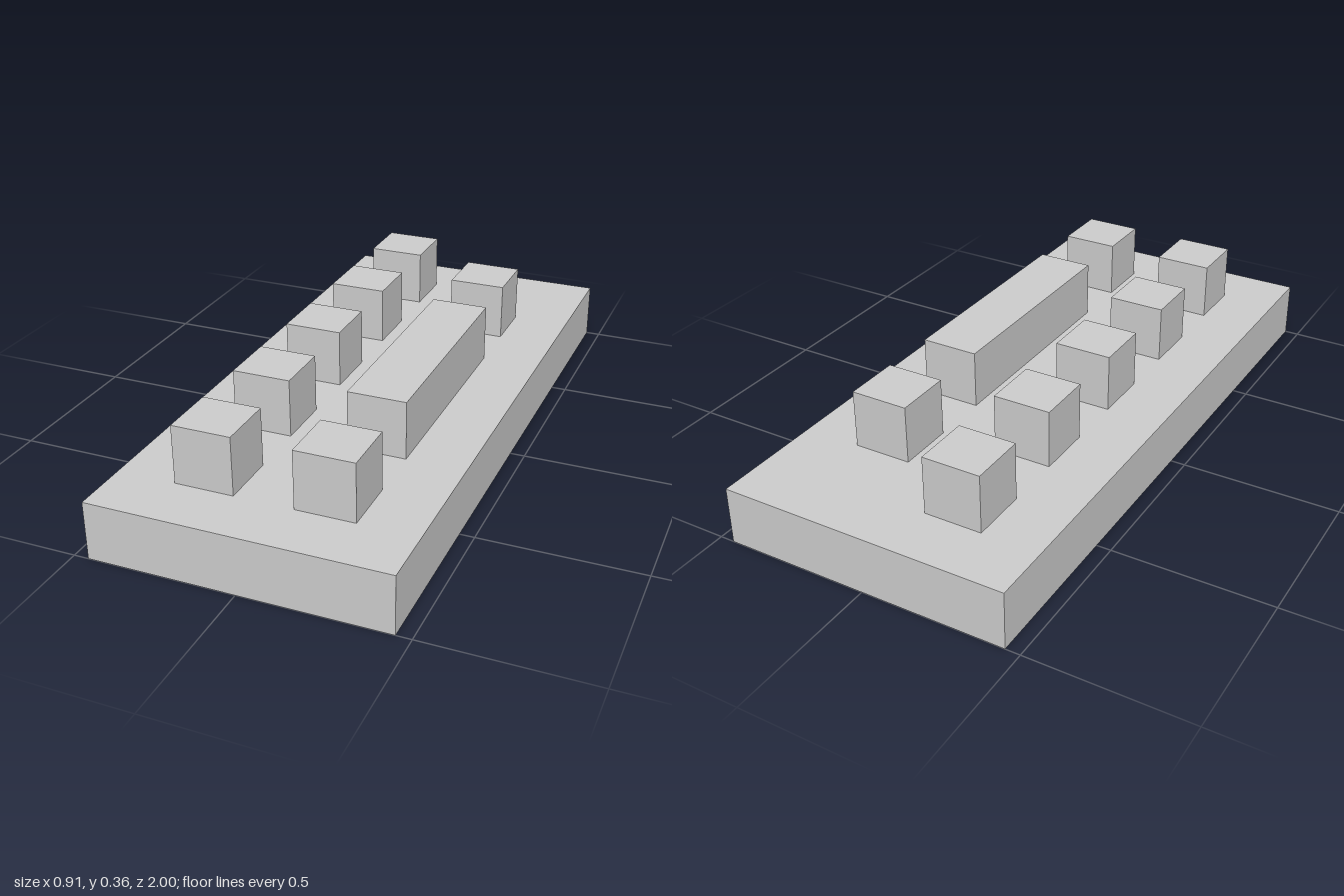
import * as THREE from 'three';

// One grid unit: the base is 5 x 1 x 11 units
const U = 2 / 11;

export function createModel() {
  const model = new THREE.Group();
  model.name = 'studdedPlate';

  const grey = new THREE.MeshStandardMaterial({ color: 0xcccccc });
  grey.name = 'light grey';

  // Box with size and position in grid units, resting on height y
  const addBox = (name, [w, h, d], [x, y, z]) => {
    const mesh = new THREE.Mesh(new THREE.BoxGeometry(w * U, h * U, d * U), grey);
    mesh.name = name;
    mesh.position.set(x * U, (y + h / 2) * U, z * U);
    model.add(mesh);
  };

  // Base slab
  addBox('base', [5, 1, 11], [0, 0, 0]);

  // Row of five cubes on the right
  for (const z of [-4, -2, 0, 2, 4]) addBox('rightCube', [1, 1, 1], [-1, 1, z]);

  // Cube, long bar and cube on the left
  for (const z of [-3, 4]) addBox('leftCube', [1, 1, 1], [1, 1, z]);
  addBox('leftBar', [1, 1, 4], [1, 1, 0.5]);

  return model;
}
